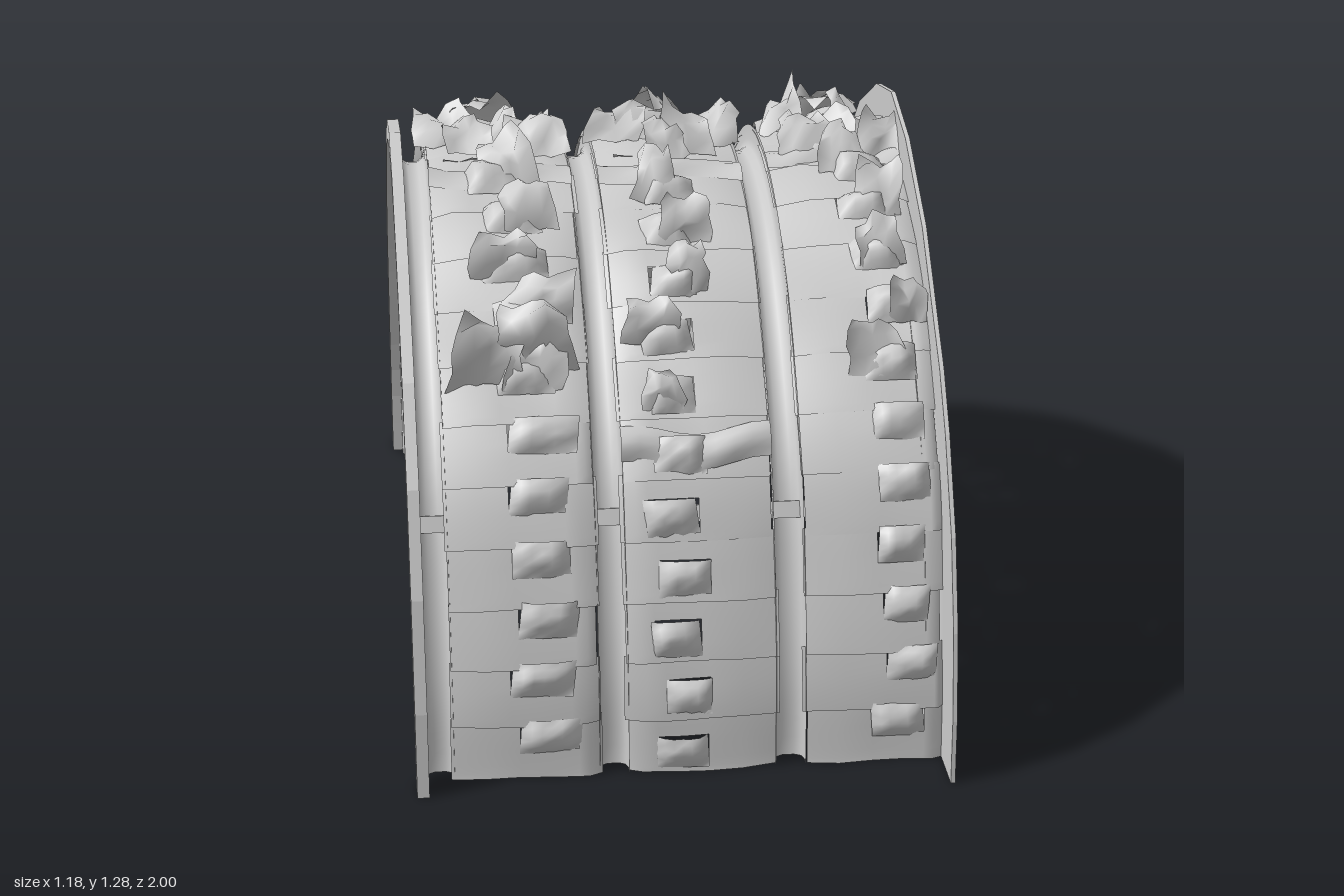
import * as THREE from 'three';
import { toCreasedNormals } from 'three/addons/utils/BufferGeometryUtils.js';

const grey = new THREE.MeshStandardMaterial({ color: 0xcccccc, side: THREE.DoubleSide });

let seed = 7;
const rnd = (a = 0, b = 1) => {
  seed = (seed * 16807) % 2147483647;
  return a + (b - a) * (seed / 2147483647);
};

// Slightly pointed arch, front foot to back foot, from (z, y) points of one half
const mirrored = (half) => [...half, ...half.slice(0, -1).reverse().map(([z, y]) => [-z, y])];
const arch = new THREE.CatmullRomCurve3(
  mirrored([[.88, 0], [.87, .2], [.825, .42], [.745, .65], [.61, .84], [.41, 1.02], [.2, 1.12], [0, 1.15]])
    .map(([z, y]) => new THREE.Vector3(0, y, z)));
arch.arcLengthDivisions = 600;
const LEN = arch.getLength();
const ROWS = 24;

// Place a point by x, fraction u along the arch and outward offset d
function at(x, u, d) {
  u = THREE.MathUtils.clamp(u, 0, 1);
  const p = arch.getPointAt(u), t = arch.getTangentAt(u);
  return [x, Math.max(0, p.y - t.z * d), p.z + t.y * d];
}

// Grid surface from a rule, with optional cells left out
function patch(name, nu, nv, rule, skip = () => false) {
  const pos = [], idx = [];
  for (let j = 0; j <= nv; j++) for (let i = 0; i <= nu; i++) pos.push(...rule(i, j));
  for (let j = 0; j < nv; j++) for (let i = 0; i < nu; i++) {
    if (skip(i, j)) continue;
    const a = j * (nu + 1) + i, b = a + 1, c = a + nu + 1, d = c + 1;
    idx.push(a, b, d, a, d, c);
  }
  const g = new THREE.BufferGeometry();
  g.setAttribute('position', new THREE.Float32BufferAttribute(pos, 3));
  g.setIndex(idx);
  g.computeVertexNormals();
  return mesh(name, g);
}

function mesh(name, geometry) {
  const m = new THREE.Mesh(geometry, grey);
  m.name = name;
  return m;
}

// Flat arched plate closing an end of the shelter
function endPlate(name, x, thick, outer) {
  const s = new THREE.Shape();
  mirrored(outer).forEach(([z, y], i) => (i ? s.lineTo(z, y) : s.moveTo(z, y)));
  for (let i = 40; i >= 0; i--) {
    const [, y, z] = at(0, i / 40, 0);
    s.lineTo(z, y);
  }
  const g = new THREE.ExtrudeGeometry(s, { depth: thick, bevelEnabled: false });
  g.rotateY(Math.PI / 2);
  g.translate(x, 0, 0);
  return mesh(name, g);
}

// Rounded gutter rib following the arch below the panels
function rib(x, w) {
  const sec = [[-.5, .005], [-.5, -.02], [-.42, -.033], [-.2, -.04], [.2, -.04], [.42, -.033], [.5, -.02], [.5, .005]];
  const m = patch('rib', sec.length - 1, 70, (i, j) => {
    const u = j / 70, deep = 1 + .4 * Math.sin(u * Math.PI);
    return at(x + sec[i][0] * w, u, sec[i][1] * deep);
  });
  m.geometry = toCreasedNormals(m.geometry, .9);
  return m;
}

// Pillow-like scoop closing an opening, its far edge gaping a little
function scoop(x, u, w, len, lift) {
  const n = 6, lean = rnd(-.5, .5), skew = rnd(-.012, .012), gape = rnd(.72, .95);
  return patch('scoop', n, n, (i, j) => {
    const s = (i / n) * 2 - 1, v = j / n;
    const bulge = (1 - s ** 4) * Math.sin(Math.PI * v * gape) * (1 + lean * s);
    return at(x + s * w / 2 + skew * v, u + v * len / LEN, .004 + lift * bulge + rnd(-.003, .003));
  });
}

// Torn, crumpled flap hinged along one edge and curling away from the panel
function shred(name, x, u, w, len, lift, crumple) {
  const n = 4, skew = rnd(-.25, .25) * w, curl = rnd(.6, 1.2), roll = rnd(-1, 1), ph = rnd(0, 6);
  return patch(name, n, n, (i, j) => {
    const s = i / n - .5, v = j / n;
    const wave = crumple * Math.sin(s * 7 + v * 4 + ph) * (.3 + v);
    const d = .006 + lift * (Math.sin(Math.min(v * 2 * curl, 2.6)) + v * s * roll) + wave * .5 + crumple * rnd(-.25, .25);
    return at(Math.min(.578, x + s * w * (1 - .3 * v * v) + skew * v + crumple * rnd(-.3, .3)),
      u + (v * len + crumple * rnd(-.3, .3)) / LEN, lift > 0 ? Math.max(d, -.01) : d);
  });
}

// Panel of overlapping slats with a line of openings, built up from both feet
function panel(name, x0, x1, winFront, winBack, winW, low, folds) {
  const g = new THREE.Group();
  g.name = name;
  const NV = 8, tall = 4, phase = rnd(0, 6);
  for (const side of [1, -1]) for (let r = 0; r < ROWS / 2; r++) {
    const along = (q) => (side > 0 ? q : 1 - q);
    const crown = THREE.MathUtils.smoothstep(r, 4.5, 9);
    const blend = THREE.MathUtils.smoothstep(along((r + .5) / ROWS), .25, .75);
    const cx = THREE.MathUtils.lerp(winFront, winBack, blend) + rnd(-.015, .015);
    const w = winW * rnd(.85, 1.1), a = cx - w / 2, b = cx + w / 2;
    const xs = [x0 + rnd(-.008, .006), (x0 + a) / 2, a, cx, b, (b + x1) / 2, x1 + rnd(-.006, .008)];
    const open = r < 11, lap = rnd(.003, .01);

    g.add(patch('slat', 6, NV, (i, j) => {
      const v = j / NV, q = (r - .06 + 1.12 * v) / ROWS;
      const bend = .005 * Math.sin(xs[i] * 20 + q * 40 + phase);
      const edge = (i === 0 || i === 6) ? -.012 : 0;
      return at(xs[i], along(q), lap * (1 - v) + bend + edge);
    }, (i, j) => open && (i === 2 || i === 3) && j >= low && j < low + tall));

    if (!open) continue;
    const hinge = (r - .06 + 1.12 * (low - .4) / NV) / ROWS;
    g.add(scoop(cx, along(hinge), w * 1.04, side * .082, .026 + .015 * crown));
    if (r > 5) {
      g.add(shred('tornFlap', cx + rnd(-.04, .04), along(hinge + rnd(0, .01)), w * rnd(.8, 1.25),
        side * rnd(.07, .11), .035 + .035 * crown, .03));
    }
  }

  // Torn shreds above and below the ridge
  for (let k = 0; k < 5; k++) {
    const x = THREE.MathUtils.lerp(x0 + .05, x1 - .05, k / 4);
    g.add(shred('ridgeShred', x, .5 + rnd(-.045, .02), rnd(.09, .14), rnd(.07, .1), rnd(.05, .08), .03));
    if (k % 2) g.add(shred('hangingShred', x, .5 + rnd(-.035, .015), rnd(.09, .13), .07, -.035, .015));
  }

  // Raised folds where slats have buckled
  for (const u of folds) {
    const size = rnd(.02, .032), ph = rnd(0, 5);
    g.add(patch('fold', 8, 4, (i, j) => {
      const s = i / 8, v = j / 4;
      return at(THREE.MathUtils.lerp(x0, x1, s), u + (v - .5) * .024 + .004 * Math.sin(s * 7 + ph),
        .006 + size * Math.sin(v * Math.PI) * (.6 + .4 * Math.sin(s * 9 + ph)));
    }));
  }
  return g;
}

// Straight rod running the length of the inside
function rod(name, y, z, tilt) {
  const m = mesh(name, new THREE.BoxGeometry(1.14, .037, .03));
  m.position.set(0, y, z);
  m.rotation.x = tilt;
  return m;
}

export function createModel() {
  const model = new THREE.Group();
  model.name = 'archedShelter';

  model.add(endPlate('leftEndPlate', .575, .01,
    [[1, 0], [.995, .15], [.965, .35], [.9, .55], [.79, .745], [.7, .86], [.44, 1.095], [.2, 1.22], [0, 1.265]]));
  model.add(endPlate('rightEndPlate', -.593, .027,
    [[.95, 0], [.94, .2], [.89, .45], [.8, .67], [.66, .86], [.44, 1.05], [.21, 1.165], [0, 1.205]]));

  const right = panel('rightPanel', -.51, -.185, -.31, -.42, .14, 4, [.455, .53]);
  right.add(shred('tornFlap', -.42, .275, .17, .12, .08, .04), shred('tornFlap', -.3, .285, .17, .12, .1, .04));
  model.add(right);
  model.add(panel('middlePanel', -.125, .205, 0, .09, .11, 1, [.228, .455, .53]));
  model.add(panel('leftPanel', .268, .575, .49, .42, .11, 4, [.47, .53]));

  for (const [x, w] of [[-.538, .06], [-.155, .064], [.237, .066], [.555, .04]]) model.add(rib(x, w));

  // Inner rods on both walls
  for (const s of [1, -1]) model.add(rod('wallRod', .555, s * .732, -s * .4));
  return model;
}
